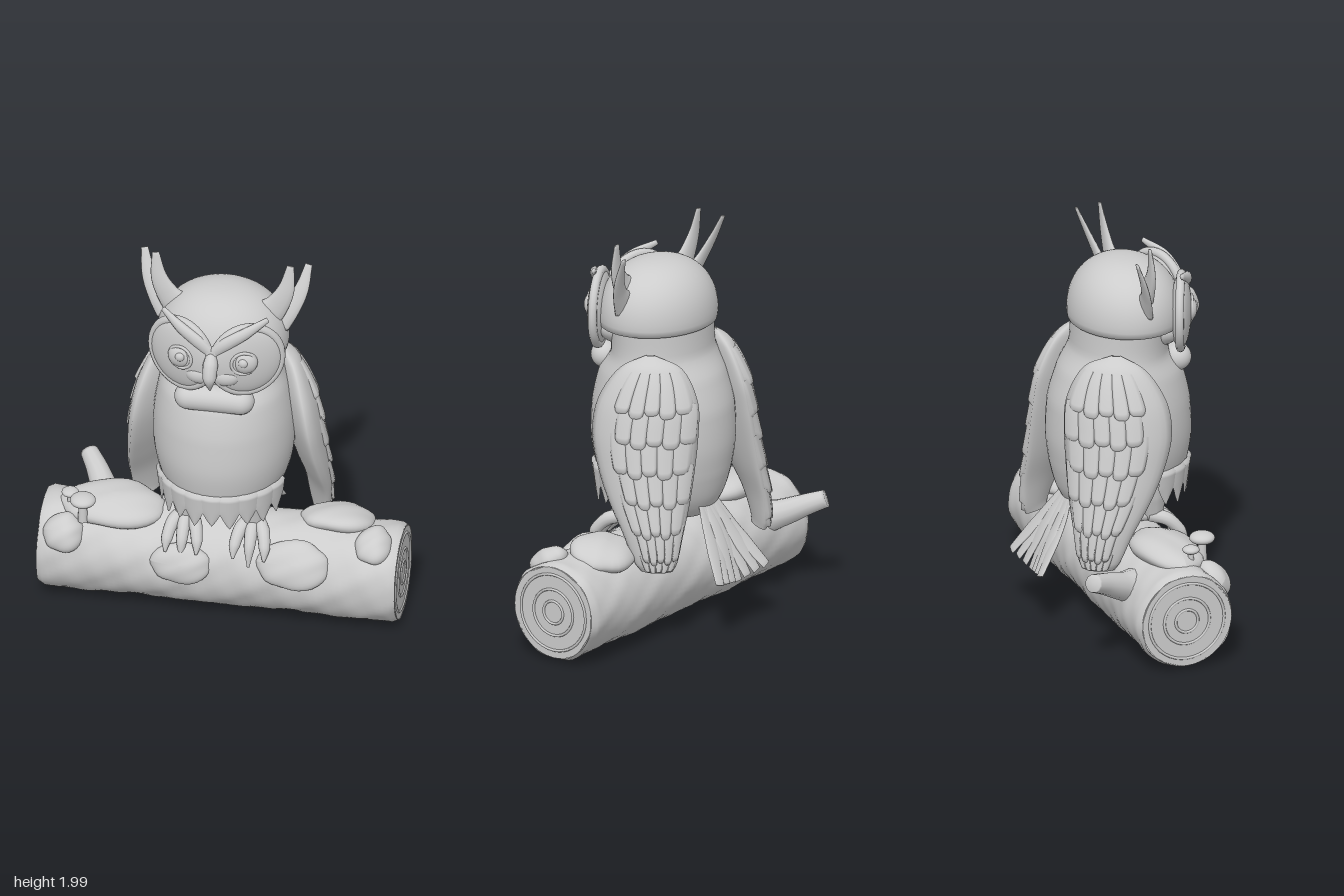
import * as THREE from 'three';

const stone = new THREE.MeshStandardMaterial({ color: 0xcccccc, side: THREE.DoubleSide });
stone.name = 'stoneGrey';
const V = (x, y, z) => new THREE.Vector3(x, y, z);
const mesh = (name, geo, parent) => {
  const m = new THREE.Mesh(geo, stone);
  m.name = name;
  parent.add(m);
  return m;
};

// Grid of points f(u, v); wrap joins the columns into a tube
function grid(f, nu, nv, wrap = false) {
  const pos = [], idx = [], cols = wrap ? nu : nu + 1;
  for (let j = 0; j <= nv; j++)
    for (let i = 0; i < cols; i++) pos.push(...f(i / nu, j / nv).toArray());
  for (let j = 0; j < nv; j++)
    for (let i = 0; i < nu; i++) {
      const a = j * cols + i, b = j * cols + (i + 1) % cols;
      idx.push(a, a + cols, b, b, a + cols, b + cols);
    }
  const g = new THREE.BufferGeometry();
  g.setAttribute('position', new THREE.Float32BufferAttribute(pos, 3));
  g.setIndex(idx);
  g.computeVertexNormals();
  return g;
}

// Tapered tube along points; radius profile, flattened along the "thin" direction
function sweep(points, radii, thin = V(0, 0, 1), flat = 1) {
  const curve = new THREE.CatmullRomCurve3(points.map(p => V(...p)));
  const n = radii.length - 1;
  return grid((u, w) => {
    const v = THREE.MathUtils.clamp((w - 0.04) / 0.92, 0, 1);
    const k = Math.min(n - 1, Math.floor(v * n));
    const r = w === 0 || w === 1 ? 0 : THREE.MathUtils.lerp(radii[k], radii[k + 1], v * n - k);
    const t = curve.getTangent(v);
    const a = V().crossVectors(t, thin).normalize(), b = V().crossVectors(a, t);
    const th = u * Math.PI * 2;
    return curve.getPoint(v).addScaledVector(a, r * Math.cos(th)).addScaledVector(b, r * flat * Math.sin(th));
  }, 12, 25, true);
}

function ellipsoid(name, parent, p, s) {
  const m = mesh(name, new THREE.SphereGeometry(1, 32, 20), parent);
  m.position.set(...p);
  m.scale.set(...s);
  return m;
}

// Log with spiral bark, ringed ends, moss, mushrooms and a branch stub
function makeLog() {
  const g = new THREE.Group();
  g.name = 'log';
  const cy = 0.262, cz = 0.045;
  mesh('bark', grid((u, v) => {
    const a = -u * Math.PI * 2, x = -0.89 + 1.78 * v;
    const edge = v === 0 || v === 1 ? -0.015 : 0;
    const r = 0.247 + edge + 0.0025 * Math.sin(7 * a + 16 * x) + 0.003 * Math.sin(3 * a - 9 * x)
      + 0.0015 * Math.sin(12 * a + 34 * x) + 0.0015 * Math.sin(5 * a - 41 * x);
    return V(x, cy + r * Math.cos(a), cz + r * Math.sin(a));
  }, 64, 60, true), g);
  for (const s of [-1, 1]) {
    const end = new THREE.Group();
    end.name = 'logEnd';
    end.position.set(s * 0.888, cy, cz);
    end.rotation.y = s * Math.PI / 2;
    mesh('cutFace', new THREE.CircleGeometry(0.234, 48), end);
    for (const r of [0.058, 0.118, 0.195])
      mesh('growthRing', new THREE.TorusGeometry(r, 0.007, 6, 40), end);
    g.add(end);
  }
  // x, angle from the top toward the front, half length, half width, thickness
  const patches = [[-0.17, 1.27, 0.15, 0.105, 0.055], [0.385, 1.07, 0.18, 0.125, 0.06], [-0.76, 0.9, 0.1, 0.1, 0.065],
    [-0.54, 0.12, 0.26, 0.165, 0.075], [0.56, -0.28, 0.185, 0.155, 0.065], [0.765, 0.48, 0.09, 0.105, 0.06]];
  for (const [x, a, rx, rz, h] of patches) {
    const geo = new THREE.SphereGeometry(1, 32, 20), p = geo.attributes.position;
    for (let i = 0; i < p.count; i++) {
      const w = 1 + 0.05 * Math.sin(5 * p.getX(i) + 3 * p.getZ(i)) * Math.cos(4 * p.getZ(i));
      p.setXYZ(i, p.getX(i) * w, p.getY(i) * w - 0.15 * p.getX(i) ** 2, p.getZ(i) * w);
    }
    geo.computeVertexNormals();
    const m = mesh('mossPatch', geo, g);
    m.position.set(x, cy + 0.245 * Math.cos(a), cz + 0.245 * Math.sin(a));
    m.rotation.x = a;
    m.scale.set(rx, h, rz);
  }
  for (const [x, y, z, r] of [[-0.75, 0.575, 0.12, 0.042], [-0.67, 0.595, 0.21, 0.063]]) {
    const stem = mesh('mushroomStem', new THREE.CylinderGeometry(r * 0.3, r * 0.4, 0.12, 12), g);
    stem.position.set(x, y - 0.06, z);
    ellipsoid('mushroomCap', g, [x, y, z], [r, r * 0.5, r]);
  }
  mesh('branchStub', sweep([[-0.58, 0.35, -0.08], [-0.64, 0.39, -0.2], [-0.7, 0.44, -0.31], [-0.755, 0.475, -0.395]],
    [0.1, 0.07, 0.055, 0.045]), g);
  return g;
}

// Body outline: y, half width, front z, back z
const rows = [[1.56, 0.29, 0.28, -0.19], [1.4, 0.29, 0.27, -0.2], [1.28, 0.32, 0.345, -0.265], [1.12, 0.345, 0.385, -0.315],
  [0.95, 0.345, 0.395, -0.325], [0.8, 0.315, 0.375, -0.31], [0.67, 0.25, 0.29, -0.275], [0.57, 0.15, 0.16, -0.2], [0.53, 0.001, 0.03, 0.02]];
const curveA = new THREE.CatmullRomCurve3(rows.map(r => V(r[0], r[1], 0)));
const curveB = new THREE.CatmullRomCurve3(rows.map(r => V(r[2], r[3], 0)));
function bodyPoint(t, a, k = 1) {
  const A = curveA.getPoint(t), B = curveB.getPoint(t);
  return V(A.y * Math.sin(a) * k, A.x, (B.x + B.y) / 2 + (B.x - B.y) / 2 * Math.cos(a) * k);
}

// Wing edges from shoulder to tip
const wingFront = new THREE.CatmullRomCurve3([[0.27, 1.44, -0.06], [0.345, 1.38, 0.04], [0.405, 1.22, 0.13], [0.435, 1.06, 0.145],
  [0.455, 0.9, 0.1], [0.475, 0.74, 0.02], [0.485, 0.58, -0.08], [0.475, 0.44, -0.145], [0.455, 0.4, -0.165]].map(p => V(...p)));
const wingBack = new THREE.CatmullRomCurve3([[0.25, 1.44, -0.1], [0.19, 1.38, -0.22], [0.18, 1.22, -0.31], [0.205, 1.06, -0.33],
  [0.24, 0.9, -0.335], [0.28, 0.74, -0.335], [0.33, 0.58, -0.33], [0.36, 0.44, -0.315], [0.375, 0.4, -0.3]].map(p => V(...p)));
function wingPoint(t, u, bulge, lift = 0) {
  const F = wingFront.getPoint(t), B = wingBack.getPoint(t), d = B.clone().sub(F);
  const n = V(-d.z, 0, d.x).normalize();
  const s = Math.pow(Math.max(0, Math.sin(Math.PI * u)), 0.65);
  return F.lerp(B, u).addScaledVector(n, bulge * d.length() * s + lift);
}

function makeWing() {
  const g = new THREE.Group();
  g.name = 'wing';
  mesh('wingShell', grid((u, v) => u < 0.5 ? wingPoint(v, u * 2, 0.24) : wingPoint(v, 2 - u * 2, -0.1), 40, 40, true), g);
  for (let r = 0; r < 7; r++)
    for (let k = 0; k < 5; k++) {
      const t0 = 0.13 + 0.115 * r, uc = 0.28 + 0.15 * k + (r % 2 ? 0.05 : 0), L = 0.155 + (k % 2) * 0.015;
      mesh('wingFeather', grid((i, v) => {
        const s = i * 2 - 1, edge = i === 0 || i === 1 || v === 1;
        const t = Math.min(1, t0 + Math.min(1, v * 1.02) * L * (1 - 0.18 * s * s * s * s));
        return wingPoint(t, Math.min(0.99, uc + s * 0.085), 0.24, edge ? -0.004 : 0.002 + 0.016 * v + 0.004 * (1 - s * s));
      }, 10, 9), g);
    }
  return g;
}

// One half of the paired parts on the head, +x side
function makeHeadSide() {
  const g = new THREE.Group();
  g.name = 'headSide';
  const disc = new THREE.Group();
  disc.name = 'facialDisc';
  disc.position.set(0.162, 1.585, 0.3);
  disc.rotation.y = 0.42;
  ellipsoid('discFace', disc, [0, 0, 0], [0.178, 0.188, 0.052]);
  const rim = mesh('discRim', new THREE.TorusGeometry(0.172, 0.022, 10, 48), disc);
  rim.scale.y = 1.06;
  g.add(disc);
  ellipsoid('eye', g, [0.157, 1.595, 0.335], [0.066, 0.066, 0.045]);
  const ring = mesh('eyeRing', new THREE.TorusGeometry(0.06, 0.008, 8, 32), g);
  ring.position.set(0.157, 1.595, 0.358);
  ring.rotation.y = 0.3;
  ellipsoid('pupil', g, [0.157, 1.605, 0.365], [0.026, 0.026, 0.024]);
  ellipsoid('cheek', g, [0.062, 1.505, 0.34], [0.075, 0.055, 0.05]);
  mesh('brow', sweep([[0.0, 1.635, 0.365], [0.07, 1.7, 0.36], [0.16, 1.755, 0.335], [0.26, 1.805, 0.265]],
    [0.03, 0.036, 0.03, 0.014], V(0.3, 0, 1), 0.7), g);
  mesh('innerTuft', sweep([[0.2, 1.7, 0.09], [0.27, 1.78, 0.09], [0.315, 1.87, 0.085], [0.335, 2.0, 0.07]],
    [0.09, 0.06, 0.042, 0.018], V(0, 0, 1), 0.38), g);
  mesh('outerTuft', sweep([[0.27, 1.67, 0.07], [0.335, 1.75, 0.05], [0.38, 1.84, 0.02], [0.408, 1.96, -0.025]],
    [0.07, 0.047, 0.035, 0.018], V(0, 0.3, 1), 0.38), g);
  return g;
}

function makeLeg() {
  const g = new THREE.Group();
  g.name = 'leg';
  mesh('shank', sweep([[0.165, 0.76, 0.14], [0.165, 0.64, 0.14], [0.168, 0.52, 0.15]], [0.1, 0.08, 0.045]), g);
  for (const k of [-1, 0, 1]) {
    const x = 0.168 + k * 0.055;
    mesh('toe', sweep([[0.168 + k * 0.015, 0.545, 0.13], [x, 0.525, 0.205], [x + k * 0.02, 0.46, 0.268], [x + k * 0.022, 0.365 + Math.abs(k) * 0.04, 0.3]],
      [0.035, 0.034, 0.028, 0.006], V(1, 0, 0)), g);
  }
  mesh('backToe', sweep([[0.168, 0.54, 0.15], [0.168, 0.54, 0.08], [0.168, 0.5, 0.03]], [0.035, 0.03, 0.008], V(1, 0, 0)), g);
  return g;
}

export function createModel() {
  const model = new THREE.Group();
  model.name = 'owlOnLog';
  model.add(makeLog());
  mesh('body', grid((u, v) => bodyPoint(v, u * Math.PI * 2), 48, 48, true), model);

  // Pointed feathers hanging below the belly
  for (let k = -4; k <= 4; k++)
    mesh('bellyFeather', grid((i, v) => {
      const s = i * 2 - 1, w = 0.165 * (v < 0.5 ? 1 : Math.pow(Math.max(0, 2 - v * 2), 0.8) * 0.96 + 0.04);
      const p = bodyPoint(0.61, k * 0.285 + s * w, (v === 0 ? 0.98 : 1.035) - 0.07 * v + 0.02 * (1 - s * s));
      p.y = 0.81 - v * (k % 2 ? 0.195 : 0.18);
      return p;
    }, 8, 12), model);

  // Fanned tail
  for (let k = -3; k <= 3; k++) {
    const z = -0.42 - 0.01 * Math.abs(k);
    mesh('tailFeather', sweep([[k * 0.02, 0.64, -0.24], [k * 0.035, 0.5, -0.32 - 0.006 * (k % 2)], [k * 0.063, 0.27 + 0.012 * Math.abs(k), z]],
      [0.02, 0.035, 0.042, 0.03], V(0, -0.5, 1), 0.22), model);
  }

  // Skull cap overhanging the neck
  const cap = [[0, -0.015], [0.9, -0.015], [0.985, 0], [1, 0.1]];
  for (let i = 1; i <= 18; i++) {
    const a = i / 18 * Math.PI / 2;
    cap.push([Math.pow(Math.max(0, Math.cos(a)), 0.88), 0.1 + 0.9 * Math.pow(Math.sin(a), 0.92)]);
  }
  const skull = mesh('skull', new THREE.LatheGeometry(cap.map(p => new THREE.Vector2(p[0], p[1])), 48), model);
  skull.position.set(0, 1.53, 0.065);
  skull.scale.set(0.325, 0.318, 0.275);
  ellipsoid('chin', model, [0, 1.51, 0.2], [0.26, 0.12, 0.14]);
  const ruff = mesh('throatRuff', new THREE.CapsuleGeometry(0.068, 0.26, 10, 24), model);
  ruff.position.set(0, 1.333, 0.295);
  ruff.rotation.z = Math.PI / 2;
  mesh('beak', sweep([[0, 1.64, 0.36], [0, 1.595, 0.4], [0, 1.53, 0.425], [0, 1.455, 0.41]],
    [0.024, 0.038, 0.034, 0.005], V(1, 0, 0)), model);

  // Mirrored pairs
  for (const s of [1, -1])
    for (const make of [makeWing, makeHeadSide, makeLeg]) {
      const part = make();
      part.scale.x = s;
      part.name = (s > 0 ? 'left ' : 'right ') + part.name;
      model.add(part);
    }
  return model;
}
